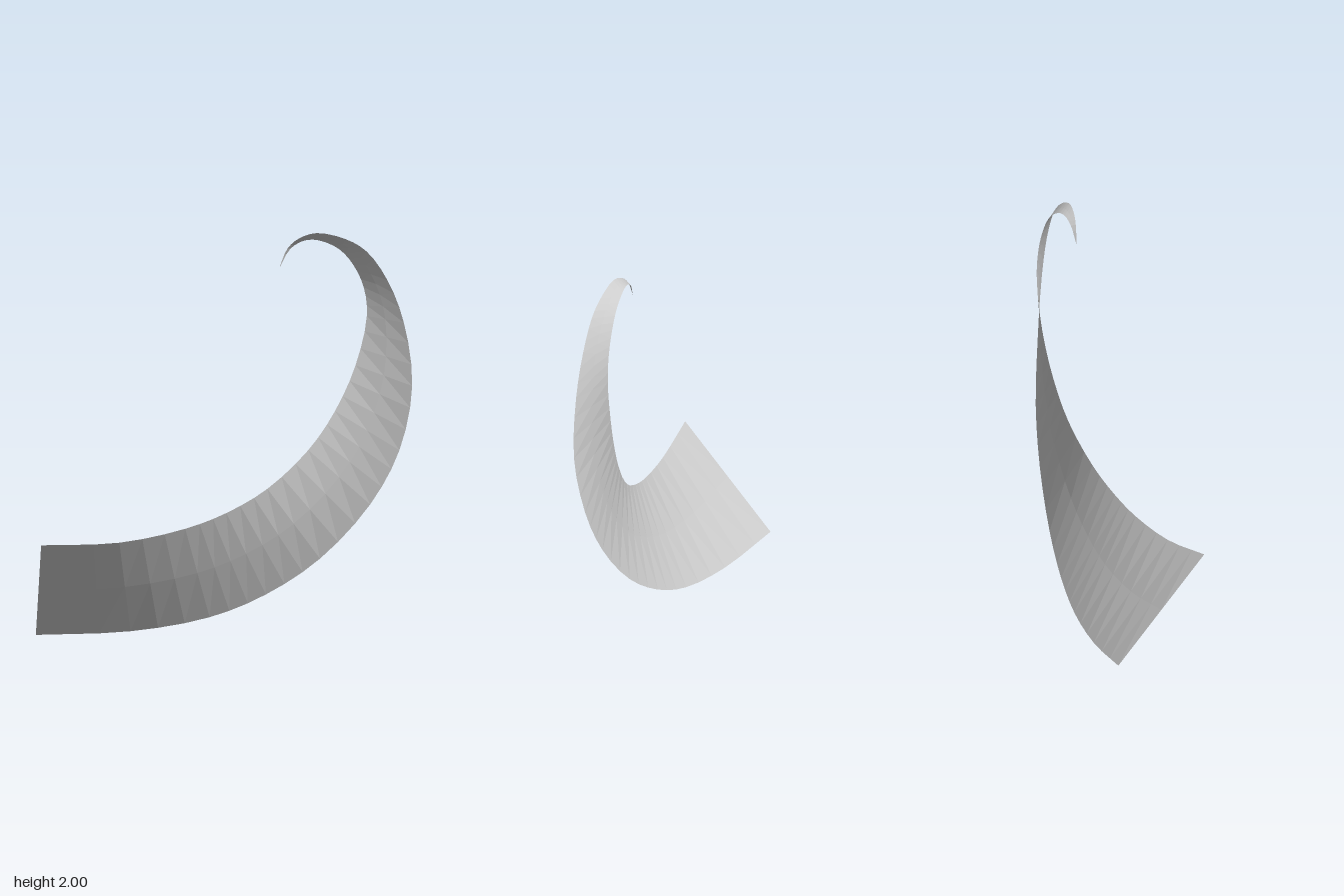
import * as THREE from 'three';

const SEGMENTS = 45; // along the ribbon
const STRIPS = 2;    // across the ribbon

// Matching points of the two long edges, from the wide end to the tip
const OUTER = [
  [-0.905, 0, -0.225], [-0.45, 0.022, -0.18], [-0.07, 0.095, -0.137], [0.2, 0.21, -0.103],
  [0.46, 0.39, -0.065], [0.7, 0.66, -0.025], [0.84, 0.93, 0.007], [0.9, 1.25, 0.04],
  [0.86, 1.56, 0.046], [0.78, 1.77, 0.043], [0.68, 1.91, 0.04], [0.58, 1.97, 0.036],
  [0.44, 2, 0.03], [0.355, 1.973, 0.02], [0.3, 1.923, 0.01], [0.262, 1.832, 0],
];
const INNER = [
  [-0.9, 0.515, 0.22], [-0.52, 0.517, 0.175], [-0.2, 0.575, 0.13], [0, 0.645, 0.098],
  [0.2, 0.755, 0.058], [0.4, 0.935, 0.01], [0.53, 1.12, -0.018], [0.63, 1.34, -0.038],
  [0.685, 1.58, -0.046], [0.67, 1.72, -0.045], [0.62, 1.83, -0.041], [0.55, 1.91, -0.035],
  [0.45, 1.955, -0.026], [0.38, 1.955, -0.018], [0.315, 1.918, -0.01], [0.264, 1.832, 0],
];

const edgeCurve = (points) =>
  new THREE.CatmullRomCurve3(points.map((p) => new THREE.Vector3(...p)));

// Twisted sheet ruled between two edge curves
function ribbonGeometry(outer, inner) {
  const positions = [];
  const index = [];
  const row = STRIPS + 1;
  for (let i = 0; i <= SEGMENTS; i++) {
    const a = outer.getPoint(i / SEGMENTS);
    const b = inner.getPoint(i / SEGMENTS);
    for (let j = 0; j <= STRIPS; j++) {
      positions.push(...a.clone().lerp(b, j / STRIPS).toArray());
    }
  }
  for (let i = 0; i < SEGMENTS; i++) {
    for (let j = 0; j < STRIPS; j++) {
      const p = i * row + j;
      index.push(p, p + row, p + row + 1, p, p + row + 1, p + 1);
    }
  }
  const geometry = new THREE.BufferGeometry();
  geometry.setAttribute('position', new THREE.Float32BufferAttribute(positions, 3));
  geometry.setIndex(index);
  const faceted = geometry.toNonIndexed();
  faceted.computeVertexNormals();
  return faceted;
}

export function createModel() {
  const group = new THREE.Group();
  group.name = 'curledRibbon';

  const grey = new THREE.MeshStandardMaterial({
    color: 0xcccccc, flatShading: true, side: THREE.DoubleSide,
  });
  grey.name = 'light grey';

  const ribbon = new THREE.Mesh(ribbonGeometry(edgeCurve(OUTER), edgeCurve(INNER)), grey);
  ribbon.name = 'ribbon';
  group.add(ribbon);
  return group;
}
